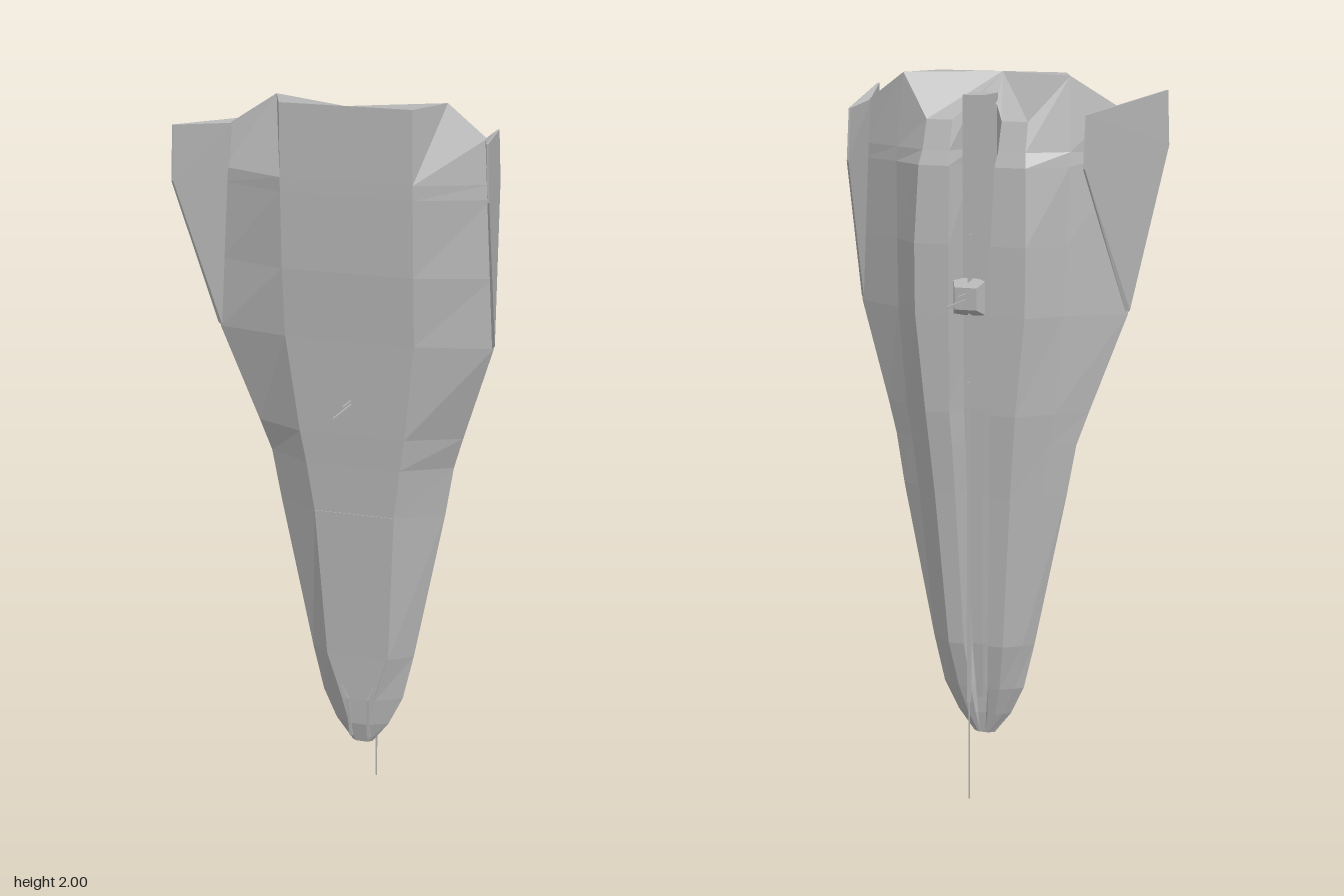
import * as THREE from 'three';
import { ConvexGeometry } from 'three/addons/geometries/ConvexGeometry.js';

const hullGrey = new THREE.MeshStandardMaterial({ color: 0xb6b6b6 });
hullGrey.name = 'hullGrey';

const mirror = ([x, y, z]) => [-x, y, z];

// Full ring from a half ring that runs front to back on the +x side
const ringOf = (half) => [...half, ...half.filter((p) => p[0] > 0).reverse().map(mirror)];

const fan = (pts) => pts.slice(2).flatMap((p, k) => [pts[0], pts[k + 1], p]);

// Faceted skin through rings ordered from bottom to top
function skin(rings) {
  const tris = [];
  for (let i = 0; i < rings.length - 1; i++) {
    const lo = rings[i], hi = rings[i + 1];
    lo.forEach((p, j) => {
      const k = (j + 1) % lo.length;
      tris.push(p, lo[k], hi[k], p, hi[k], hi[j]);
    });
  }
  return tris;
}

function addTris(group, name, tris) {
  const g = new THREE.BufferGeometry();
  g.setAttribute('position', new THREE.Float32BufferAttribute(tris.flat(), 3));
  g.computeVertexNormals();
  return addMesh(group, name, g);
}

function addMesh(group, name, geometry, x = 0, y = 0, z = 0) {
  const m = new THREE.Mesh(geometry, hullGrey);
  m.name = name;
  m.position.set(x, y, z);
  group.add(m);
  return m;
}

const addBox = (group, name, w, h, d, x, y, z) => addMesh(group, name, new THREE.BoxGeometry(w, h, d), x, y, z);

// Closed bar from rectangles: [y, halfWidth, frontZ, backZ]
function addBar(group, name, rows, cx = () => 0) {
  const rings = rows.map(([y, w, f, b], i) => [[w, y, f], [w, y, b], [-w, y, b], [-w, y, f]].map(([x, yy, z]) => [x + cx(i), yy, z]));
  return addTris(group, name, [...skin(rings), ...fan(rings.at(-1)), ...fan([...rings[0]].reverse())]);
}

export function createModel() {
  const root = new THREE.Group();
  root.name = 'spacecraft';

  // Hull stations: y, front z, front half width, edge x, edge z,
  // shoulder x, shoulder z, rear x, rear z, rear inner x, channel x, channel z
  const stations = [
    [0.16, 0.012, 0.018, 0.03, 0, 0.02, -0.006, 0.015, -0.01, 0.01, 0.005, -0.01],
    [0.22, 0.031, 0.03, 0.078, 0, 0.06, -0.015, 0.04, -0.025, 0.018, 0.012, -0.02],
    [0.30, 0.038, 0.05, 0.118, -0.005, 0.095, -0.025, 0.06, -0.045, 0.025, 0.018, -0.025],
    [0.43, 0.045, 0.09, 0.15, -0.005, 0.125, -0.035, 0.08, -0.072, 0.035, 0.028, -0.025],
    [0.86, 0.074, 0.115, 0.24, 0, 0.18, -0.04, 0.11, -0.098, 0.05, 0.035, -0.015],
    [1.00, 0.084, 0.135, 0.265, 0.005, 0.2, -0.04, 0.122, -0.108, 0.055, 0.035, -0.01],
    [1.09, 0.092, 0.15, 0.295, 0.02, 0.215, -0.04, 0.13, -0.115, 0.06, 0.035, 0],
    [1.36, 0.112, 0.183, 0.39, 0.063, 0.24, -0.035, 0.158, -0.118, 0.06, 0.035, 0],
    [1.55, 0.128, 0.185, 0.383, 0.06, 0.245, -0.03, 0.16, -0.116, 0.06, 0.035, 0],
    [1.76, 0.137, 0.185, 0.375, 0.056, 0.25, -0.02, 0.153, -0.1, 0.065, 0.035, 0],
    [1.80, 0.138, 0.185, 0.372, 0.055, 0.25, -0.015, 0.147, -0.085, 0.07, 0.035, 0],
  ];
  const rings = stations.map(([y, f, a, w, m, s, sz, r, b, i, c, fl]) => ringOf([
    [0, y, f], [a, y, f], [a, y, f], [w, y, m], [s, y, sz], [r, y, b], [i, y, b], [c, y, fl], [0, y, fl],
  ]));

  // Crown with notched corners
  const front = [0, 2, 0.14], corner = [0.185, 2, 0.14], peak = [0.24, 2, 0.01], tip = [0.36, 1.92, 0.05];
  const rear = [0.145, 1.88, -0.058], inner = [0.07, 1.88, -0.058], slot = [0.035, 1.92, 0];
  rings.push(ringOf([front, corner, peak, tip, peak, rear, inner, slot, [0, 1.92, 0]]));
  addTris(root, 'hull', [...skin(rings), ...fan([...rings[0]].reverse())]);
  addTris(root, 'sternDeck', fan(ringOf([front, corner, peak, rear, inner, slot])));

  // Spine inside the rear channel
  addBar(root, 'spine', [
    [0.27, 0.008, 0, -0.035], [0.43, 0.016, 0, -0.055], [0.86, 0.022, 0.01, -0.075],
    [1.1, 0.028, 0.02, -0.086], [1.75, 0.03, 0.02, -0.088], [1.95, 0.03, 0.02, -0.088],
  ]);

  // Raised panel and twin ridges near the nose
  addBar(root, 'nosePanel', [[0.3, 0.046, 0.043, 0.03], [0.43, 0.088, 0.05, 0.035], [0.86, 0.114, 0.076, 0.06]]);
  for (const side of [-1, 1]) {
    const xs = [0.026, 0.03, 0.05];
    addBar(root, 'noseRidge', [[0.18, 0.004, 0.028, 0.01], [0.3, 0.004, 0.046, 0.03], [0.35, 0.004, 0.045, 0.03]], (i) => side * xs[i]);
  }

  // Side fins, thickest along the root
  const finPoints = [
    [0.355, 1.92, 0.05], [0.385, 1.36, 0.063], [0.394, 1.37, 0.068], [0.378, 1.92, 0.05],
    [0.425, 1.95, 0.28], [0.43, 1.95, 0.28], [0.43, 1.8, 0.28], [0.435, 1.8, 0.28],
    [0.333, 1.91, -0.14], [0.338, 1.91, -0.14], [0.333, 1.77, -0.157], [0.338, 1.77, -0.157],
  ];
  for (const side of [-1, 1]) {
    addMesh(root, side > 0 ? 'leftFin' : 'rightFin',
      new ConvexGeometry(finPoints.map(([x, y, z]) => new THREE.Vector3(side * x, y, z))));
  }

  // Long probe and rail behind the spine
  addBox(root, 'probe', 0.004, 1.7, 0.004, 0, 0.85, -0.122);
  addBox(root, 'probeSleeve', 0.008, 0.9, 0.012, 0, 0.73, -0.122);
  addBox(root, 'probeRail', 0.008, 0.32, 0.012, 0, 1.42, -0.112);

  // Rear turret: neck, tapered head and two barrels
  const turret = new THREE.Group();
  turret.name = 'rearTurret';
  root.add(turret);
  addBox(turret, 'turretNeck', 0.045, 0.07, 0.035, 0, 1.41, -0.095);
  const head = [];
  for (const x of [-1, 1]) for (const y of [-1, 1]) {
    head.push(new THREE.Vector3(x * 0.024, 1.41 + y * 0.05, -0.103),
      new THREE.Vector3(x * 0.045, 1.41 + y * 0.045, -0.118),
      new THREE.Vector3(x * 0.032, 1.41 + y * 0.03, -0.146));
  }
  addMesh(turret, 'turretHead', new ConvexGeometry(head));
  addBox(turret, 'longBarrel', 0.004, 0.008, 0.14, 0, 1.405, -0.21);
  addBox(turret, 'shortBarrel', 0.004, 0.005, 0.06, 0, 1.422, -0.175);

  // Front barrels
  addBox(root, 'frontLongBarrel', 0.004, 0.007, 0.16, 0, 1.178, 0.16);
  addBox(root, 'frontShortBarrel', 0.004, 0.004, 0.08, 0, 1.19, 0.12);

  return root;
}
